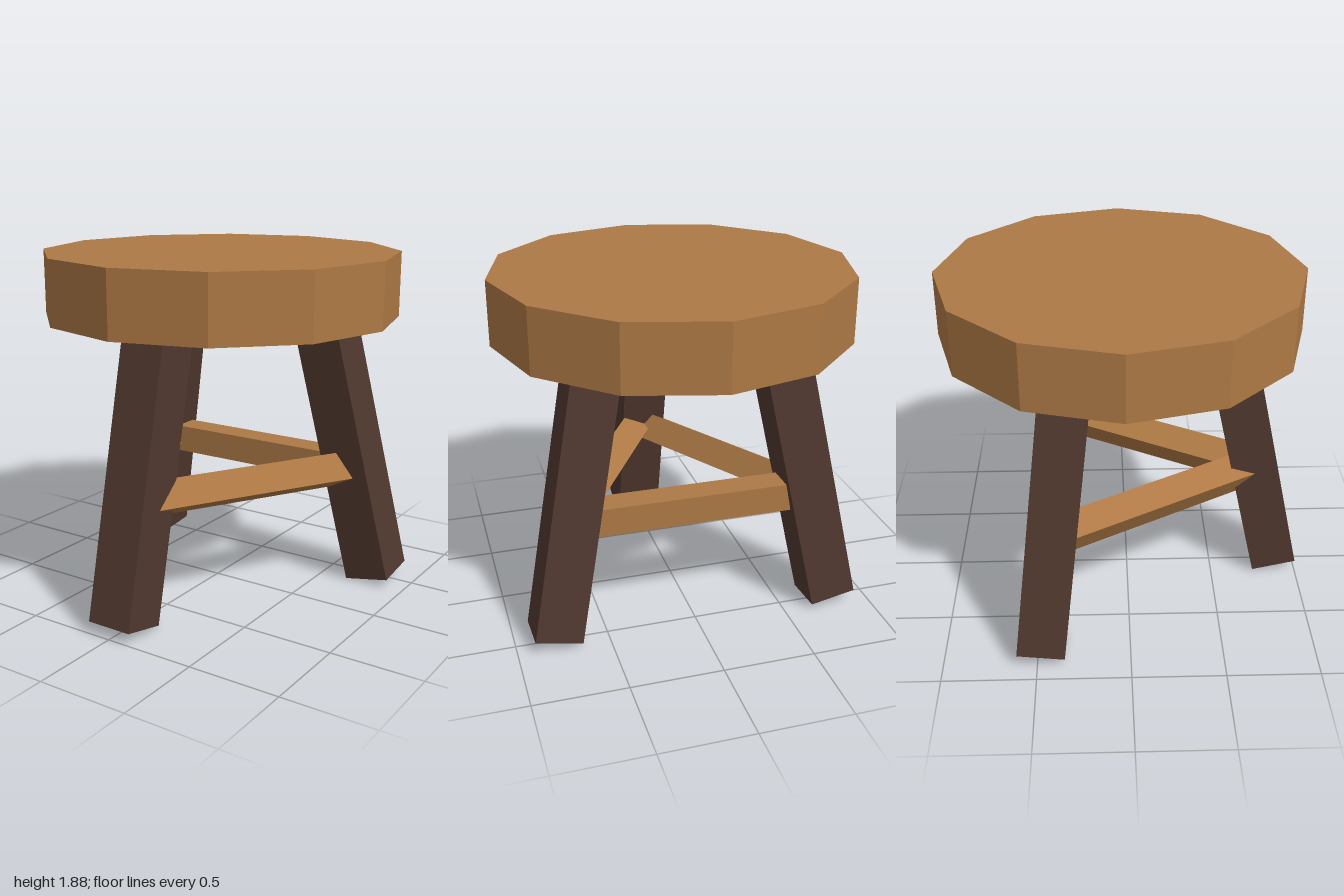
import * as THREE from 'three';

export function createModel() {
  const stool = new THREE.Group();
  stool.name = 'stool';

  const lightWood = new THREE.MeshStandardMaterial({ color: 0xae7945, flatShading: true });
  lightWood.name = 'lightWood';
  const darkWood = new THREE.MeshStandardMaterial({ color: 0x50382f, flatShading: true });
  darkWood.name = 'darkWood';

  const centreZ = -0.03; // axis of the seat and leg ring
  const UP = new THREE.Vector3(0, 1, 0);

  // Twelve-sided seat slab
  const seat = new THREE.Mesh(new THREE.CylinderGeometry(0.97, 0.97, 0.35, 12), lightWood);
  seat.name = 'seat';
  seat.position.set(0, 1.705, centreZ);
  stool.add(seat);

  // Splayed legs: square posts leaning inward, their tops sunk into the seat
  const ringPoint = (angle, radius, y) =>
    new THREE.Vector3(Math.sin(angle) * radius, y, centreZ + Math.cos(angle) * radius);
  const splay = 0.225, footY = 0.041, topY = 1.7, footRadius = 0.903;
  const legs = [['frontLeg', 0], ['backLeftLeg', 120], ['backRightLeg', 240]];
  for (const [name, degrees] of legs) {
    const angle = THREE.MathUtils.degToRad(degrees);
    const foot = ringPoint(angle, footRadius, footY);
    const top = ringPoint(angle, footRadius - splay * (topY - footY), topY);
    const leg = new THREE.Mesh(new THREE.BoxGeometry(0.257, foot.distanceTo(top), 0.257), darkWood);
    leg.name = name;
    leg.position.copy(foot).add(top).multiplyScalar(0.5);
    leg.quaternion.setFromUnitVectors(UP, top.clone().sub(foot).normalize());
    stool.add(leg);
  }

  // Stretchers joining the legs; the two side bars are rolled about their length
  const stretchers = [['leftStretcher', 60, -30], ['rightStretcher', -60, 30], ['backStretcher', 180, 0]];
  for (const [name, degrees, roll] of stretchers) {
    const angle = THREE.MathUtils.degToRad(degrees);
    const bar = new THREE.Mesh(new THREE.BoxGeometry(1.32, 0.157, 0.157), lightWood);
    bar.name = name;
    bar.position.copy(ringPoint(angle, 0.38, 0.667));
    bar.rotation.set(THREE.MathUtils.degToRad(roll), angle, 0, 'YXZ');
    stool.add(bar);
  }

  return stool;
}
